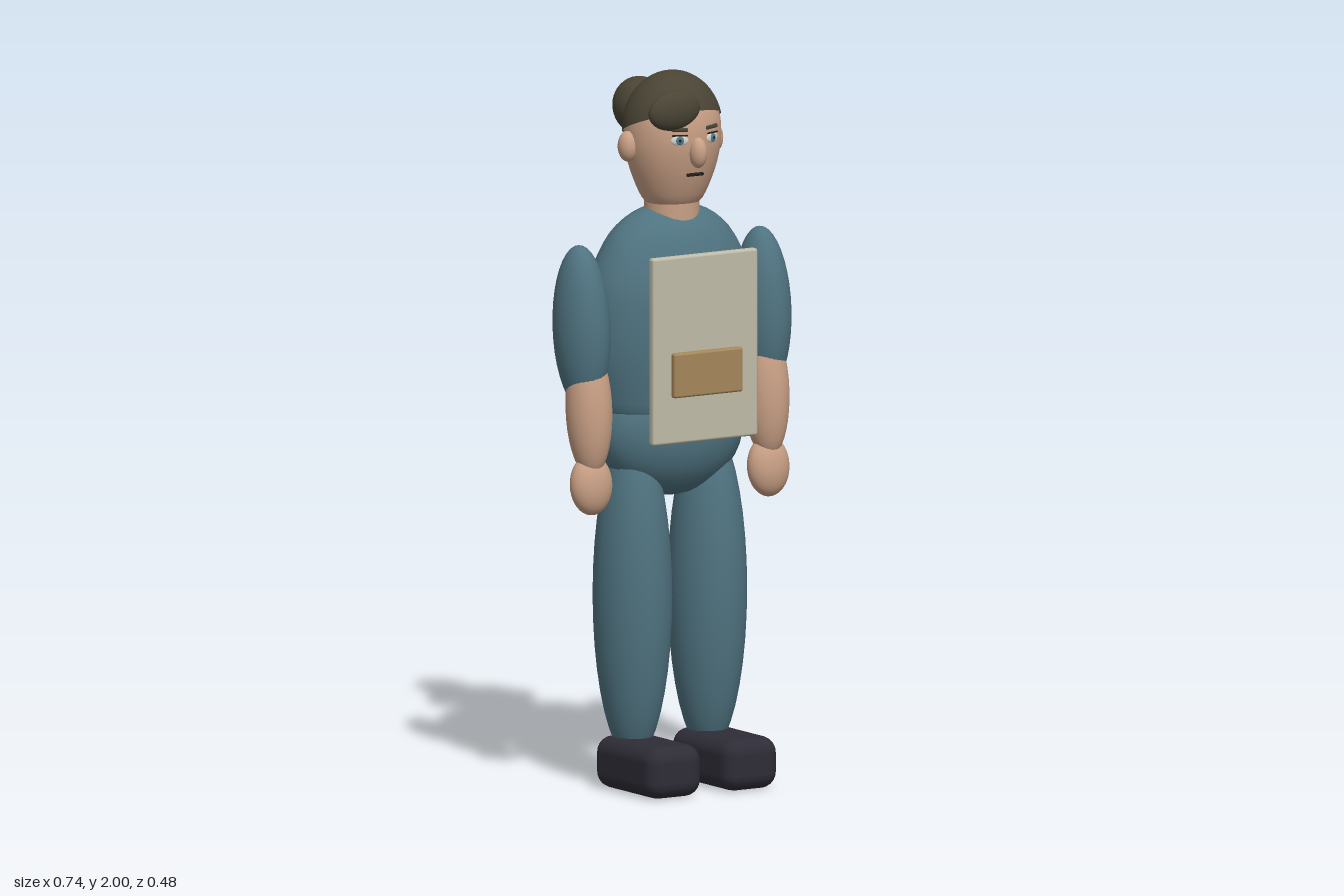
import * as THREE from 'three';
import { RoundedBoxGeometry } from 'three/addons/geometries/RoundedBoxGeometry.js';

const mat = (name, color, side = THREE.FrontSide) => {
  const m = new THREE.MeshStandardMaterial({ color, side });
  m.name = name;
  return m;
};

export function createModel() {
  const root = new THREE.Group();
  root.name = 'figure';
  const cloth = mat('teal cloth', 0x4f7380);
  const skin = mat('skin', 0xc9a085);
  const hair = mat('dark hair', 0x4a4435, THREE.DoubleSide);
  const leather = mat('shoe leather', 0x2e2d37);
  const canvas = mat('apron canvas', 0xbfbba8);
  const tan = mat('tan pocket', 0xa5875a);
  const white = mat('eye white', 0xd6d6ce);
  const blue = mat('iris blue', 0x4d7f90);
  const dark = mat('dark line', 0x231d1b);

  const add = (name, geo, material, pos = [0, 0, 0], rot = [0, 0, 0], parent = root) => {
    const m = new THREE.Mesh(geo, material);
    m.name = name;
    m.position.set(...pos);
    m.rotation.set(...rot);
    parent.add(m);
    return m;
  };
  const ball = (name, material, pos, r, rot, parent) =>
    add(name, new THREE.SphereGeometry(1, 28, 20).scale(...r), material, pos, rot, parent);
  const box = (name, material, pos, size, radius, rot, parent) =>
    add(name, new RoundedBoxGeometry(...size, 3, radius), material, pos, rot, parent);
  // Turned body with an oval cross-section; base points stay straight, the rest is a smooth curve
  const turned = (name, material, base, curve, rx, rz, z) => {
    const v = (p) => new THREE.Vector2(...p);
    const pts = [...base.map(v), ...new THREE.SplineCurve(curve.map(v)).getPoints(24)];
    pts.forEach((p) => { p.x = Math.max(0, p.x); });
    return add(name, new THREE.LatheGeometry(pts, 28).scale(rx, 1, rz), material, [0, 0, z]);
  };

  // Body
  turned('torso', cloth, [[0, 1.06], [0.83, 1.06]],
    [[0.86, 1.064], [0.94, 1.15], [0.99, 1.23], [1, 1.31], [0.97, 1.4], [0.87, 1.475],
      [0.7, 1.55], [0.47, 1.6], [0.2, 1.626], [0, 1.63]], 0.262, 0.165, -0.005);
  ball('pelvis', cloth, [0, 1.0, -0.005], [0.226, 0.19, 0.138]);
  add('neck', new THREE.CylinderGeometry(0.077, 0.077, 0.14, 28), skin, [0, 1.63, 0.006]);

  // Limbs, mirrored
  for (const [side, s] of [['left', 1], ['right', -1]]) {
    const arm = new THREE.Group();
    arm.name = `${side}Arm`;
    root.add(arm);
    ball('sleeve', cloth, [s * 0.297, 1.305, 0.008], [0.075, 0.23, 0.092], [-0.06, 0, 0], arm);
    ball('forearm', skin, [s * 0.291, 1.08, 0.036], [0.064, 0.19, 0.067], [-0.06, 0, 0], arm);
    ball('hand', skin, [s * 0.291, 0.87, 0.047], [0.064, 0.085, 0.044], [-0.08, 0, 0], arm);

    const leg = new THREE.Group();
    leg.name = `${side}Leg`;
    root.add(leg);
    ball('trouserLeg', cloth, [s * 0.123, 0.54, -0.003], [0.106, 0.465, 0.12], [0, 0, 0], leg);
    box('shoe', leather, [s * 0.125, 0.0725, 0.082], [0.175, 0.145, 0.315], 0.045, [0, 0, 0], leg);
  }

  // Head
  turned('head', skin, [[0, 1.618]],
    [[0.42, 1.622], [0.62, 1.645], [0.82, 1.705], [0.95, 1.765], [1, 1.82], [0.96, 1.88],
      [0.78, 1.935], [0.45, 1.97], [0, 1.98]], 0.138, 0.13, 0.01);
  ball('nose', skin, [0, 1.787, 0.141], [0.024, 0.043, 0.029]);
  box('mouth', dark, [0, 1.724, 0.126], [0.054, 0.009, 0.009], 0.003);

  // Eyes, brows and ears, mirrored
  for (const [side, s] of [['left', 1], ['right', -1]]) {
    ball(`${side}Ear`, skin, [s * 0.14, 1.798, 0], [0.027, 0.043, 0.031]);
    const eye = new THREE.Group();
    eye.name = `${side}Eye`;
    eye.position.set(s * 0.053, 1.824, 0.13);
    eye.rotation.y = s * 0.37;
    root.add(eye);
    ball('eyeWhite', white, [0, 0, 0], [0.025, 0.014, 0.005], [0, 0, 0], eye);
    ball('iris', blue, [0, 0, 0.003], [0.012, 0.012, 0.004], [0, 0, 0], eye);
    ball('pupil', dark, [0, 0, 0.005], [0.005, 0.005, 0.003], [0, 0, 0], eye);
    box('upperLid', dark, [0, 0.014, 0.002], [0.044, 0.004, 0.006], 0.0015, [0, 0, 0], eye);
    box(`${side}Brow`, hair, [s * 0.052, 1.854, 0.128], [0.048, 0.011, 0.01], 0.004,
      [0, s * 0.3, s * 0.05]);
  }

  // Hair: cap tilted up at the front, swept fringe and bun
  const cap = new THREE.SphereGeometry(1, 32, 16, 0, Math.PI * 2, 0, Math.PI / 2 - 0.1);
  add('hairCap', cap.rotateX(-0.3).scale(0.143, 0.16, 0.131), hair, [0, 1.84, 0.009]);
  ball('fringe', hair, [-0.063, 1.907, 0.117], [0.08, 0.055, 0.032], [0, -0.06, 0.12]);
  ball('bun', hair, [0, 1.878, -0.158], [0.073, 0.081, 0.081]);

  // Apron bib and pocket
  box('apronBib', canvas, [0, 1.247, 0.168], [0.345, 0.525, 0.026], 0.008);
  box('apronPocket', tan, [0, 1.178, 0.186], [0.226, 0.125, 0.024], 0.007);

  return root;
}
